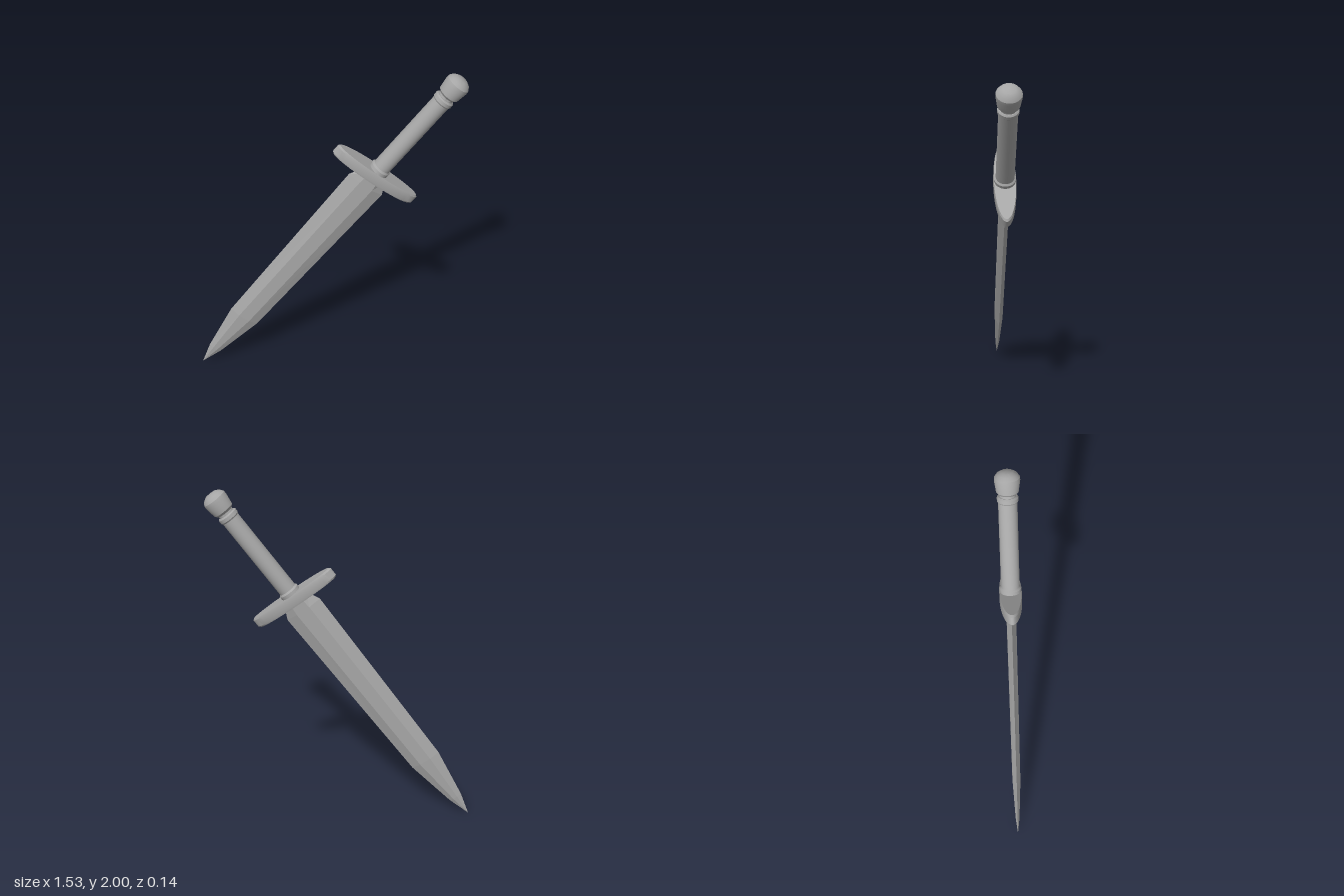
import * as THREE from 'three';
import { toCreasedNormals } from 'three/addons/utils/BufferGeometryUtils.js';

const steel = new THREE.MeshStandardMaterial({ color: 0xa6a6a6 });
steel.name = 'steel grey';

// Turned part from [radius, height] pairs, with sharp edges kept
function turned(name, profile, depthScale = 1, sides = 32) {
  const points = profile.map(([r, y]) => new THREE.Vector2(r, y));
  const geometry = new THREE.LatheGeometry(points, sides);
  geometry.scale(1, 1, depthScale);
  const mesh = new THREE.Mesh(toCreasedNormals(geometry, 0.45), steel);
  mesh.name = name;
  return mesh;
}

// Six-sided blade: rows of [height, half width, half flat, half thickness]
function makeBlade() {
  const rows = [
    [0, 0, 0, 0],
    [0.135, 0.041, 0.014, 0.012],
    [0.445, 0.095, 0.036, 0.024],
    [1.635, 0.117, 0.044, 0.027],
    [1.71, 0.08, 0.036, 0.027],
  ].map(([y, w, f, d]) => [
    [w, y, 0], [f, y, d], [-f, y, d], [-w, y, 0], [-f, y, -d], [f, y, -d],
  ]);
  const positions = [];
  for (let i = 0; i < rows.length - 1; i++) {
    for (let j = 0; j < 6; j++) {
      const k = (j + 1) % 6;
      const a = rows[i][j], b = rows[i][k];
      const c = rows[i + 1][j], d = rows[i + 1][k];
      if (i > 0) positions.push(...a, ...c, ...b);
      positions.push(...b, ...c, ...d);
    }
  }
  const geometry = new THREE.BufferGeometry();
  geometry.setAttribute('position', new THREE.Float32BufferAttribute(positions, 3));
  geometry.computeVertexNormals();
  const mesh = new THREE.Mesh(geometry, steel);
  mesh.name = 'blade';
  return mesh;
}

export function createModel() {
  // Built upright with the tip at the origin, then leaned over
  const dagger = new THREE.Group();
  dagger.name = 'dagger';
  dagger.add(makeBlade());

  // Oval crossguard with a chamfered rim
  dagger.add(turned('guard', [
    [0, 1.69], [0.268, 1.69], [0.28, 1.7], [0.28, 1.745], [0.268, 1.755], [0, 1.755],
  ], 0.225, 64));

  // Grip with a base collar and an end ring
  dagger.add(turned('baseCollar', [
    [0, 1.75], [0.06, 1.75], [0.061, 1.775], [0.052, 1.785], [0, 1.785],
  ]));
  dagger.add(turned('grip', [[0.052, 1.77], [0.052, 2.31]]));
  dagger.add(turned('endRing', [
    [0, 2.3], [0.052, 2.3], [0.058, 2.308], [0.058, 2.328], [0.05, 2.336], [0, 2.336],
  ]));

  // Flared pommel with a shallow dome
  dagger.add(turned('pommel', [
    [0.046, 2.32], [0.046, 2.348], [0.061, 2.362], [0.07, 2.425],
    [0.069, 2.443], [0.056, 2.462], [0.035, 2.475], [0, 2.479],
  ]));

  dagger.rotation.z = -0.647;
  dagger.position.set(-0.763, 0.002, 0);

  const model = new THREE.Group();
  model.name = 'model';
  model.add(dagger);
  return model;
}
